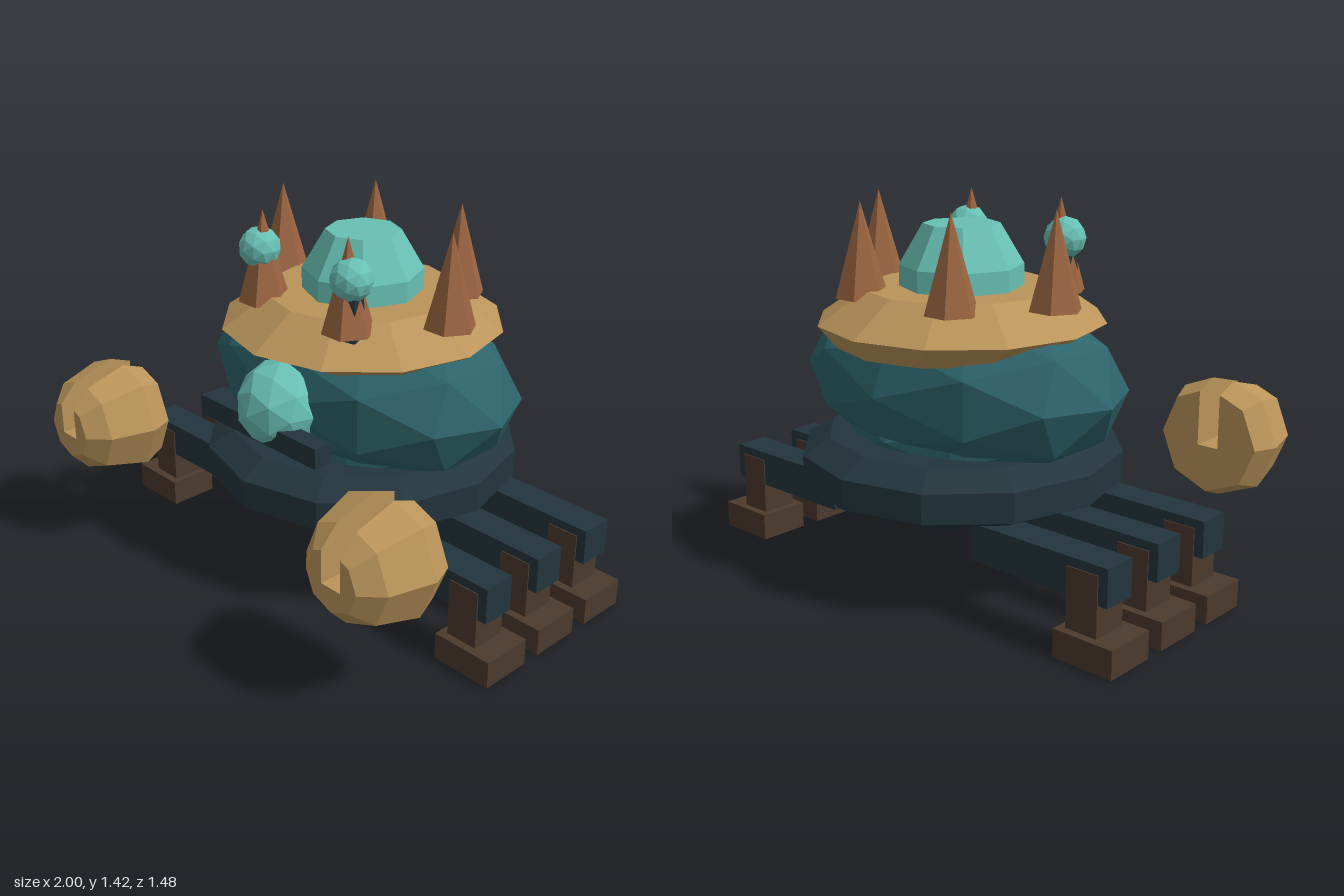
import * as THREE from 'three';

const paint = (name, color) => {
  const m = new THREE.MeshStandardMaterial({ color, flatShading: true });
  m.name = name;
  return m;
};

export function createModel() {
  const teal = paint('deep teal', 0x2d636b);
  const aqua = paint('aqua', 0x68c0b4);
  const navy = paint('dark slate', 0x23353d);
  const tan = paint('tan', 0xba945a);
  const rust = paint('rust brown', 0x9c6541);
  const brown = paint('dark brown', 0x4c3a2d);

  const CZ = -0.13; // body centre line in z
  const root = new THREE.Group();
  root.name = 'crab';

  const add = (name, geo, mat, x = 0, y = 0, z = 0) => {
    const mesh = new THREE.Mesh(geo, mat);
    mesh.name = name;
    mesh.position.set(x, y, z);
    root.add(mesh);
    return mesh;
  };
  const lathe = (pts, sides) =>
    new THREE.LatheGeometry(pts.map(([r, y]) => new THREE.Vector2(r, y)), sides);
  const gem = (rx, ry, rz) => new THREE.IcosahedronGeometry(1, 1).scale(rx, ry, rz);
  const box = (x0, x1, y0, y1, depth) =>
    new THREE.BoxGeometry(x1 - x0, y1 - y0, depth).translate((x0 + x1) / 2, (y0 + y1) / 2, 0);

  // Base disc
  add('baseDisc', lathe([[0, 0.31], [0.44, 0.31], [0.61, 0.39], [0.61, 0.5], [0.51, 0.56], [0, 0.56]], 12), navy, 0, 0, CZ);

  // Body and lower belly
  add('body', gem(0.7, 0.345, 0.457), teal, 0, 0.76, CZ);
  add('belly', gem(0.5, 0.2, 0.405), teal, 0, 0.585, CZ);

  // Shell rim, its lower edge pushed backwards
  const rim = lathe([[0, 0.9], [0.43, 0.9], [0.54, 0.98], [0.365, 1.1], [0, 1.1]], 12);
  const rp = rim.attributes.position;
  for (let i = 0; i < rp.count; i++) if (rp.getY(i) < 0.91) rp.setZ(i, rp.getZ(i) - 0.05);
  add('shellRim', rim, tan, 0, 0, CZ);

  // Dome on top
  add('dome', lathe([[0.23, 1.07], [0.23, 1.18], [0.142, 1.33], [0, 1.33]], 8), aqua, 0, 0, CZ);

  // Face
  add('snout', gem(0.172, 0.172, 0.172), aqua, 0, 0.75, 0.283);
  add('mouth', new THREE.BoxGeometry(0.615, 0.08, 0.075), navy, 0, 0.675, 0.365);

  // Claw cross-section: octagon with a slot cut down from the top
  const clawRing = (r) => {
    const w = 0.043, top = r - w * Math.tan(Math.PI / 8), pts = [[-w, -0.025], [w, -0.025], [w, top]];
    for (let i = 1; i < 8; i++) {
      const a = (i * Math.PI) / 4;
      pts.push([r * Math.sin(a), r * Math.cos(a)]);
    }
    pts.push([-w, top]);
    return pts.reverse(); // counter-clockwise seen from the front
  };
  const clawGeometry = () => {
    const rings = [[0.2, 0.41], [0.235, 0.5], [0.188, 0.67], [0.115, 0.74]];
    const pos = [], idx = [], n = clawRing(1).length;
    for (const [r, z] of rings) for (const [x, y] of clawRing(r)) pos.push(x, y, z);
    for (let k = 0; k < rings.length - 1; k++) {
      for (let i = 0; i < n; i++) {
        const a = k * n + i, b = k * n + ((i + 1) % n);
        idx.push(a, b, b + n, a, b + n, a + n);
      }
    }
    const cap = (k) => THREE.ShapeUtils.triangulateShape(
      clawRing(rings[k][0]).map(([x, y]) => new THREE.Vector2(x, y)), []);
    for (const [a, b, c] of cap(0)) idx.push(c, b, a);
    const last = (rings.length - 1) * n;
    for (const [a, b, c] of cap(rings.length - 1)) idx.push(last + a, last + b, last + c);
    const g = new THREE.BufferGeometry();
    g.setAttribute('position', new THREE.Float32BufferAttribute(pos, 3));
    g.setIndex(idx);
    g.computeVertexNormals();
    return g;
  };
  const claw = clawGeometry();

  const spike = new THREE.ConeGeometry(0.098, 0.35, 6).rotateY(Math.PI / 2);
  const stalk = new THREE.CylinderGeometry(0.045, 0.05, 0.17, 6);
  const eye = gem(0.08, 0.08, 0.08);

  for (const s of [1, -1]) {
    const side = s > 0 ? 'left' : 'right';
    add(side + 'Claw', claw, tan, s * 0.743, 0.532, 0);

    // Eye on its stalk
    add(side + 'EyeStalk', stalk, navy, s * 0.245, 1.13, 0.168);
    add(side + 'Eye', eye, aqua, s * 0.244, 1.267, 0.166);

    // Shell spikes
    for (const [x, z] of [[0.225, 0.165], [0.442, -0.127], [0.225, -0.42]])
      add(side + 'Spike', spike, rust, s * x, 1.242, z);

    // Legs
    for (const z of [0.147, -0.127, -0.403]) {
      const m = (a, b) => (s > 0 ? [a, b] : [-b, -a]);
      add(side + 'UpperLeg', box(...m(0.36, 0.95), 0.22, 0.358, 0.13), navy, 0, 0, z);
      add(side + 'Shin', box(...m(0.785, 0.913), 0.1, 0.325, 0.14), brown, 0, 0, z);
      add(side + 'Foot', box(...m(0.757, 1), 0, 0.104, 0.202), brown, 0, 0, z);
    }
  }
  return root;
}
